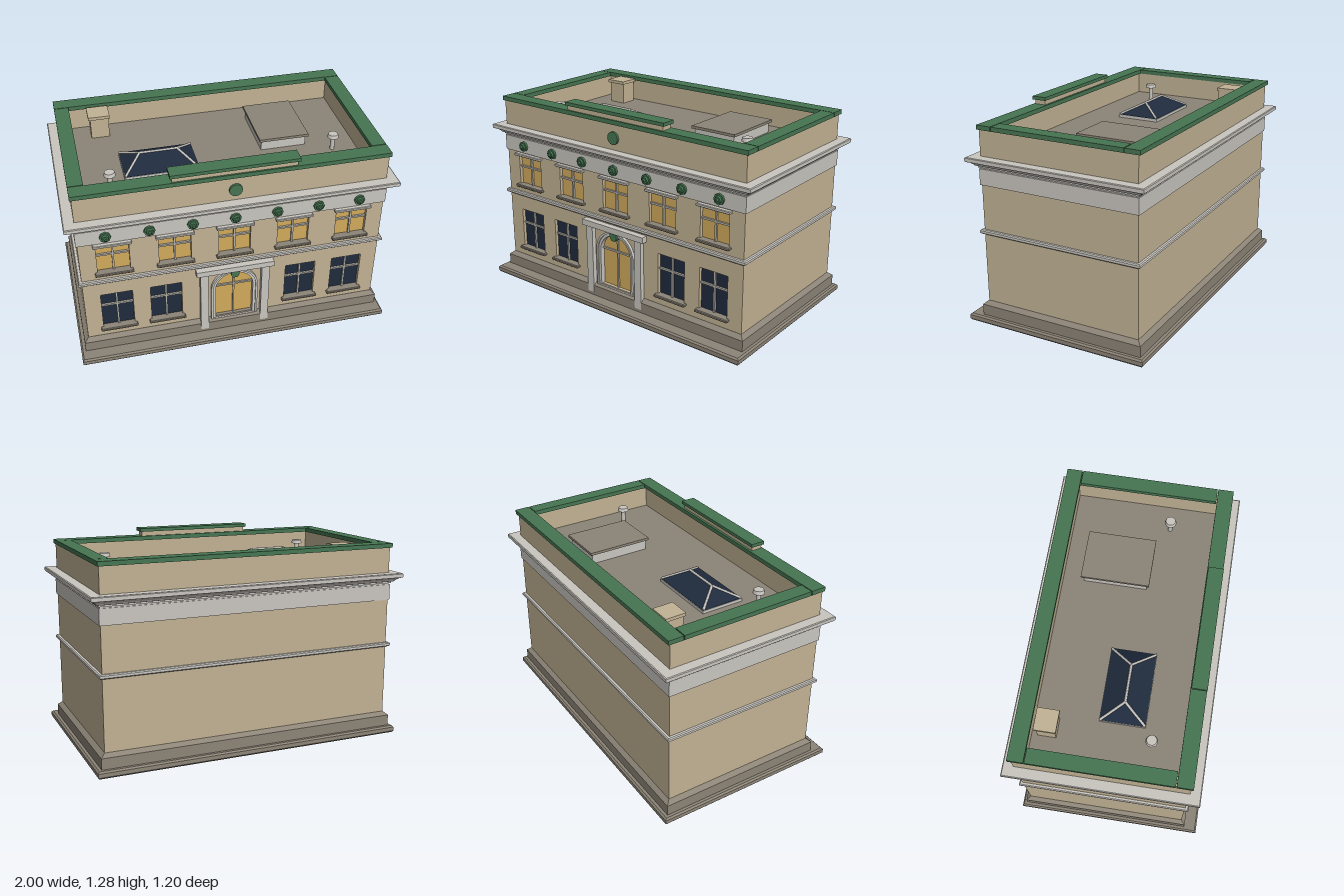
import * as THREE from 'three';

const mat = (name, color) => new THREE.MeshStandardMaterial({ name, color });

export function createModel() {
  const wall = mat('tan wall', 0xc2b294), stone = mat('pale stone', 0xc9c6c0);
  const base = mat('grey brown stone', 0x8c8477), green = mat('green copper', 0x467552);
  const amber = mat('lit glass', 0xd2aa5c), dark = mat('dark glass', 0x1f2b3d);
  const bars = mat('window bars', 0xb5b1a8);
  const model = new THREE.Group();
  model.name = 'building';
  const ZC = -0.022, FRONT = 0.49;

  const add = (name, geo, material, x = 0, y = 0, z = 0) => {
    const m = new THREE.Mesh(geo, material);
    m.name = name;
    m.position.set(x, y, z);
    model.add(m);
    return m;
  };
  // box given by its extents
  const box = (name, material, x0, x1, y0, y1, z0, z1) =>
    add(name, new THREE.BoxGeometry(x1 - x0, y1 - y0, z1 - z0), material, (x0 + x1) / 2, (y0 + y1) / 2, (z0 + z1) / 2);
  // stack of rectangles [halfX, halfZ, y], closed at both ends
  const loft = (name, material, rows, x = 0, z = ZC) => {
    const ring = ([hx, hz, y]) => [[hx, y, hz], [hx, y, -hz], [-hx, y, -hz], [-hx, y, hz]];
    const p = [];
    const quad = (a, b, c, d) => p.push(...a, ...b, ...c, ...a, ...c, ...d);
    for (let i = 0; i < rows.length - 1; i++) {
      const l = ring(rows[i]), u = ring(rows[i + 1]);
      for (let k = 0; k < 4; k++) quad(l[k], l[(k + 1) % 4], u[(k + 1) % 4], u[k]);
    }
    const b = ring(rows[0]);
    quad(b[3], b[2], b[1], b[0]);
    quad(...ring(rows[rows.length - 1]));
    const g = new THREE.BufferGeometry();
    g.setAttribute('position', new THREE.Float32BufferAttribute(p, 3));
    g.computeVertexNormals();
    return add(name, g, material, x, 0, z);
  };
  // moulding whose profile is [overhang from the wall, y]
  const moulding = (name, material, profile) =>
    loft(name, material, profile.map(([o, y]) => [0.935 + o, 0.5125 + o, y]));
  const rod = (name, material, a, b, r) => {
    const p = new THREE.Vector3(...a), d = new THREE.Vector3(...b).sub(p);
    const m = add(name, new THREE.CylinderGeometry(r, r, d.length(), 6), material);
    m.position.copy(p).addScaledVector(d, 0.5);
    m.quaternion.setFromUnitVectors(new THREE.Vector3(0, 1, 0), d.normalize());
  };
  const disc = (name, material, x, y, z0, z1, r0, r1, n) =>
    add(name, new THREE.CylinderGeometry(r1, r0, z1 - z0, n), material, x, y, (z0 + z1) / 2).rotation.x = Math.PI / 2;
  // outline of a round-headed opening
  const arch = (Type, w, y0, spring) => {
    const s = new Type();
    s.moveTo(-w, y0);
    s.lineTo(w, y0);
    s.lineTo(w, spring);
    s.absarc(0, spring, w, 0, Math.PI, false);
    s.lineTo(-w, y0);
    return s;
  };
  const rect = (Type, x0, x1, y0, y1) => {
    const s = new Type();
    s.moveTo(x0, y0);
    s.lineTo(x1, y0);
    s.lineTo(x1, y1);
    s.lineTo(x0, y1);
    s.closePath();
    return s;
  };
  const extrude = (name, material, shape, z0, z1) =>
    add(name, new THREE.ExtrudeGeometry(shape, { depth: z1 - z0, bevelEnabled: false, curveSegments: 16 }), material, 0, 0, z0);

  // base
  loft('baseSlab', base, [[0.982, 0.587, 0], [0.99, 0.595, 0.01], [0.99, 0.595, 0.035], [0.98, 0.585, 0.045]], 0, 0.005);
  moulding('plinth', base, [[0.027, 0.04], [0.027, 0.113], [0, 0.136]]);

  // walls, with a pierced front skin
  box('mainWalls', wall, -0.935, 0.935, 0.12, 1.0, -0.535, 0.46);
  const skin = rect(THREE.Shape, -0.935, 0.935, 0.12, 1.0);
  const windows = [];
  for (const x of [-0.735, -0.365, 0, 0.365, 0.735]) windows.push({ x, y0: 0.65, y1: 0.857, bar: 0.775, upper: true });
  for (const x of [-0.735, -0.43, 0.43, 0.735]) windows.push({ x, y0: 0.2, y1: 0.47, bar: 0.372 });
  for (const w of windows) skin.holes.push(rect(THREE.Path, w.x - 0.098, w.x + 0.098, w.y0, w.y1));
  skin.holes.push(arch(THREE.Path, 0.125, 0.136, 0.372));
  extrude('frontWall', wall, skin, 0.46, FRONT);

  // windows
  for (const { x, y0, y1, bar, upper } of windows) {
    box('windowGlass', upper ? amber : dark, x - 0.098, x + 0.098, y0, y1, 0.46, 0.468);
    box('windowMullion', bars, x - 0.006, x + 0.006, y0, y1, 0.466, 0.48);
    box('windowTransom', bars, x - 0.098, x + 0.098, bar - 0.006, bar + 0.006, 0.466, 0.48);
    loft('windowSill', base, [[0.108, 0.025, y0 - 0.014], [0.115, 0.029, y0 - 0.009], [0.115, 0.029, y0], [0.11, 0.025, y0 + 0.005]], x, 0.488);
    if (upper) loft('windowHeader', stone, [[0.108, 0.025, 0.853], [0.115, 0.029, 0.857], [0.115, 0.029, 0.868], [0.11, 0.025, 0.872]], x, 0.488);
  }

  // entrance
  extrude('doorGlass', amber, arch(THREE.Shape, 0.125, 0.136, 0.372), 0.46, 0.468);
  box('doorMullion', bars, -0.005, 0.005, 0.136, 0.495, 0.466, 0.478);
  box('doorTransom', bars, -0.125, 0.125, 0.375, 0.387, 0.466, 0.478);
  for (const [wo, wi, z] of [[0.15, 0.137, 0.508], [0.137, 0.12, 0.5]]) {
    const s = arch(THREE.Shape, wo, 0.13, 0.372);
    s.holes.push(arch(THREE.Path, wi, 0.131, 0.372));
    extrude('archSurround', stone, s, 0.465, z);
  }
  const key = new THREE.Shape([[-0.014, 0.468], [0.014, 0.468], [0.026, 0.49], [0.026, 0.514], [-0.026, 0.514], [-0.026, 0.49]].map(p => new THREE.Vector2(...p)));
  extrude('keystone', green, key, 0.48, 0.518);
  for (const s of [-1, 1]) box('entrancePilaster', stone, s * 0.195 - 0.025, s * 0.195 + 0.025, 0.065, 0.525, 0.47, 0.52);
  box('entranceLintel', stone, -0.245, 0.245, 0.522, 0.56, 0.47, 0.53);

  // belt, frieze and cornice
  moulding('beltCourse', stone, [[0.014, 0.574], [0.02, 0.58], [0.02, 0.594], [0.014, 0.6]]);
  moulding('frieze', stone, [[0.008, 0.877], [0.008, 0.975]]);
  moulding('cornice', stone, [[0.002, 0.97], [0.002, 0.982], [0.012, 0.984], [0.012, 0.993], [0.024, 0.996],
    [0.03, 1.005], [0.05, 1.02], [0.063, 1.023], [0.065, 1.027], [0.065, 1.046], [0.06, 1.05]]);
  for (let i = -3; i <= 3; i++) {
    const x = i * 0.257;
    disc('rosetteRim', green, x, 0.925, 0.495, 0.512, 0.034, 0.034, 8);
    disc('rosetteMiddle', green, x, 0.925, 0.51, 0.524, 0.024, 0.02, 8);
    disc('rosetteCentre', green, x, 0.925, 0.52, 0.535, 0.012, 0.008, 8);
  }

  // parapet, coping and roof deck
  box('roofDeck', base, -0.87, 0.87, 1.03, 1.07, -0.47, 0.425);
  for (const [z0, z1, c0, c1] of [[0.42, 0.49, 0.405, 0.5], [-0.535, -0.465, -0.55, -0.455]]) {
    box('parapetWall', wall, -0.935, 0.935, 1.04, 1.21, z0, z1);
    box('parapetCoping', green, -0.945, 0.945, 1.208, 1.235, c0, c1);
  }
  for (const s of [-1, 1]) {
    box('parapetSideWall', wall, s * 0.9 - 0.035, s * 0.9 + 0.035, 1.04, 1.21, -0.465, 0.42);
    box('parapetSideCoping', green, s * 0.9 - 0.045, s * 0.9 + 0.045, 1.208, 1.235, -0.45, 0.4);
  }
  box('raisedPanel', wall, -0.37, 0.37, 1.235, 1.266, 0.42, 0.49);
  box('raisedPanelCoping', green, -0.383, 0.383, 1.264, 1.285, 0.408, 0.5);
  disc('medallion', green, 0, 1.125, 0.485, 0.503, 0.04, 0.04, 16);

  // rooftop pieces
  box('chimney', wall, -0.735, -0.62, 1.07, 1.205, -0.43, -0.32);
  box('chimneyCap', wall, -0.747, -0.612, 1.205, 1.225, -0.44, -0.31);
  box('hatchBody', stone, 0.275, 0.56, 1.07, 1.135, -0.335, 0.055);
  box('hatchLid', base, 0.262, 0.575, 1.135, 1.152, -0.35, 0.07);
  for (const [x, z] of [[-0.69, 0.23], [0.71, 0.14]]) {
    add('ventPipe', new THREE.CylinderGeometry(0.014, 0.014, 0.09, 12), stone, x, 1.115, z);
    add('ventCap', new THREE.CylinderGeometry(0.03, 0.036, 0.022, 16), stone, x, 1.168, z);
  }

  // hipped skylight
  const sx = -0.37, sz = 0.045;
  loft('skylightGlass', dark, [[0.225, 0.135, 1.07], [0.225, 0.135, 1.09], [0.115, 0, 1.16]], sx, sz);
  rod('skylightRidge', stone, [sx - 0.115, 1.16, sz], [sx + 0.115, 1.16, sz], 0.008);
  for (const a of [-1, 1]) {
    for (const b of [-1, 1]) rod('skylightHip', stone, [sx + a * 0.115, 1.16, sz], [sx + a * 0.223, 1.091, sz + b * 0.133], 0.008);
    box('skylightKerb', stone, sx - 0.228, sx + 0.228, 1.07, 1.088, sz + a * 0.135 - 0.003, sz + a * 0.135 + 0.003);
    box('skylightKerb', stone, sx + a * 0.225 - 0.003, sx + a * 0.225 + 0.003, 1.07, 1.088, sz - 0.137, sz + 0.137);
  }
  return model;
}
